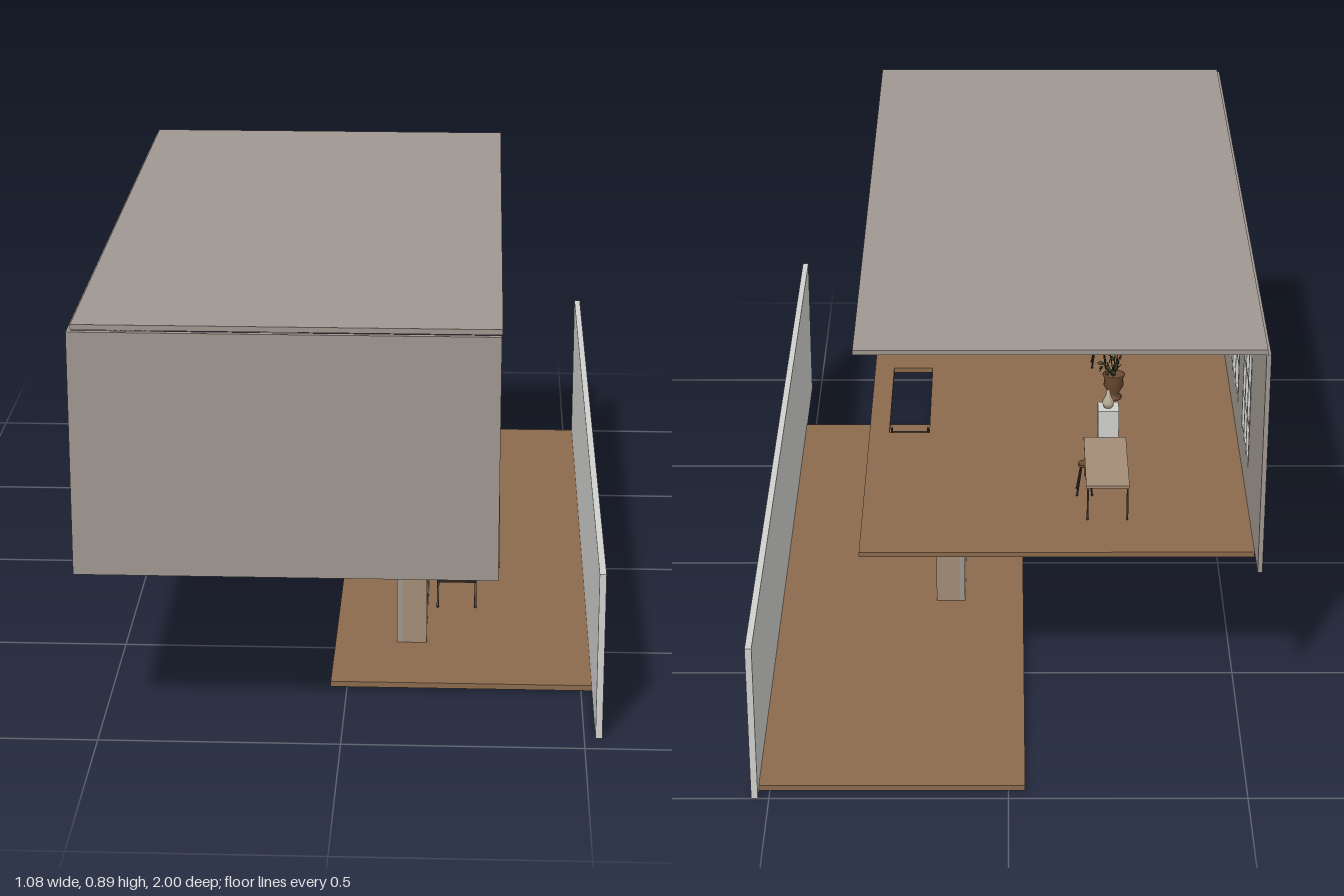
import * as THREE from 'three';

const mat = (name, color, side = THREE.FrontSide) => {
  const m = new THREE.MeshStandardMaterial({ color, side });
  m.name = name;
  return m;
};

export function createModel() {
  const root = new THREE.Group();
  root.name = 'house';
  const M = {
    wall: mat('warm grey plaster', 0x9f9790),
    floor: mat('brown timber', 0x8b6a4d),
    pale: mat('pale concrete', 0xd0d1ce),
    shelf: mat('tan wood', 0xa38c76),
    dark: mat('dark metal', 0x3b332d),
    pot: mat('brown clay', 0x6b4a30),
    leaf: mat('dark leaf', 0x3f4029, THREE.DoubleSide),
    paper: mat('cream paper', 0xb9ab97),
    cloth: mat('grey cloth', 0x6a6662),
  };
  const group = (name, parent = root) => {
    const g = new THREE.Group();
    g.name = name;
    parent.add(g);
    return g;
  };
  const add = (name, geo, m, parent = root) => {
    const mesh = new THREE.Mesh(geo, m);
    mesh.name = name;
    parent.add(mesh);
    return mesh;
  };
  // Box given by its limits on each axis
  const box = (name, m, [x0, x1], [y0, y1], [z0, z1], parent) => {
    const b = add(name, new THREE.BoxGeometry(x1 - x0, y1 - y0, z1 - z0), m, parent);
    b.position.set((x0 + x1) / 2, (y0 + y1) / 2, (z0 + z1) / 2);
    return b;
  };
  // Thin round bar between two points
  const bar = (name, m, a, b, r, parent) => {
    const p = new THREE.Vector3(...a), q = new THREE.Vector3(...b);
    const d = q.clone().sub(p);
    const mesh = add(name, new THREE.CylinderGeometry(r, r, d.length(), 8), m, parent);
    mesh.position.copy(p).add(q).multiplyScalar(0.5);
    mesh.quaternion.setFromUnitVectors(new THREE.Vector3(0, 1, 0), d.normalize());
    return mesh;
  };
  const rect = (T, a0, a1, b0, b1) => {
    const s = new T();
    s.moveTo(a0, b0);
    s.lineTo(a1, b0).lineTo(a1, b1).lineTo(a0, b1).closePath();
    return s;
  };
  // Rectangular plate with rectangular openings
  const plate = (outer, holes, depth) => {
    const s = rect(THREE.Shape, ...outer);
    s.holes = holes.map((h) => rect(THREE.Path, ...h));
    return new THREE.ExtrudeGeometry(s, { depth, bevelEnabled: false });
  };

  // Shell
  box('lowerFloor', M.floor, [-0.035, 0.523], [0, 0.012], [-0.97, 0.71]);
  box('boundaryWall', M.pale, [0.523, 0.537], [0, 0.363], [-1, 0.95]);
  box('roof', M.wall, [-0.533, 0.32], [0.877, 0.888], [-0.69, 0.985]);
  box('frontWall', M.wall, [-0.54, 0.318], [0.365, 0.877], [0.988, 1]);
  const upper = plate([-0.53, 0.322, -0.905, 0.605], [[0.183, 0.276, -0.31, 0.035]], 0.012);
  add('upperFloor', upper.rotateX(-Math.PI / 2), M.floor).position.y = 0.355;

  // Side wall with three windows
  const windows = [[0.325, 0.53, 3], [-0.045, 0.305, 4], [-0.37, -0.17, 3]];
  const wy0 = 0.45, wy1 = 0.715;
  const sideGeo = plate([-0.69, 0.988, 0.365, 0.877], windows.map(([a, b]) => [a, b, wy0, wy1]), 0.01);
  add('sideWall', sideGeo.rotateY(-Math.PI / 2), M.wall).position.x = -0.53;
  windows.forEach(([a, b, n]) => {
    const g = group('window');
    for (let i = 0; i <= n; i++) {
      const t = i === 0 ? a + 0.004 : i === n ? b - 0.004 : a + ((b - a) * i) / n;
      box('verticalBar', M.pale, [-0.54, -0.529], [wy0, wy1], [t - 0.004, t + 0.004], g);
    }
    for (let j = 0; j <= 3; j++) {
      const y = wy0 + 0.004 + ((wy1 - wy0 - 0.008) * j) / 3;
      box('crossBar', M.pale, [-0.539, -0.53], [y - 0.004, y + 0.004], [a, b], g);
    }
  });

  // Bookcase against its backing wall
  const z0 = -0.2, z1 = 0.49, y0 = 0.012, y1 = 0.355, rows = 6, bays = 5;
  const bookcase = group('bookcase');
  box('backingWall', M.wall, [0.1, 0.112], [y0, y1], [z0, z1], bookcase);
  for (let i = 0; i <= bays; i++) {
    const z = z0 + ((z1 - z0 - 0.008) * i) / bays;
    box('upright', M.shelf, [0.112, 0.166], [y0, y1], [z, z + 0.008], bookcase);
  }
  for (let j = 0; j <= rows; j++) {
    const y = y0 + ((y1 - y0 - 0.006) * j) / rows;
    box('shelf', M.shelf, [0.112, 0.165], [y, y + 0.006], [z0 + 0.001, z1 - 0.001], bookcase);
  }
  // Books with small repeatable variations
  let seed = 7;
  const rnd = () => (seed = (seed * 16807) % 2147483647) / 2147483647;
  const covers = [M.dark, M.cloth, M.paper, M.pot, M.dark];
  const bayW = (z1 - z0 - 0.008) / bays, rowH = (y1 - y0 - 0.006) / rows;
  for (let j = 0; j < rows; j++) {
    for (let i = 0; i < bays; i++) {
      let z = z0 + i * bayW + 0.01;
      const end = z0 + (i + 1) * bayW - 0.002 - rnd() * 0.04;
      const y = y0 + j * rowH + 0.006;
      while (z < end - 0.014) {
        const w = 0.006 + rnd() * 0.007;
        const h = 0.03 + rnd() * 0.016;
        const m = covers[Math.floor(rnd() * covers.length)];
        box('book', m, [0.115, 0.148 + rnd() * 0.015], [y, y + h], [z, z + w], bookcase);
        z += w + 0.001 + (rnd() > 0.85 ? 0.012 : 0);
      }
    }
  }

  // Sloping ladder up to the floor opening
  const ladder = group('ladder');
  const ladderZ = (y) => 0.29 - ((y - 0.012) / 0.35) * 0.29;
  for (const x of [0.187, 0.272]) {
    bar('ladderRail', M.dark, [x, 0.014, ladderZ(0.014)], [x, 0.362, ladderZ(0.362)], 0.0025, ladder);
  }
  for (let i = 1; i <= 6; i++) {
    const y = 0.012 + i * 0.053, z = ladderZ(y);
    box('tread', M.dark, [0.187, 0.272], [y - 0.002, y + 0.002], [z - 0.014, z + 0.014], ladder);
  }

  // Work table
  const top = 0.367;
  const table = group('table');
  box('tableTop', M.shelf, [-0.265, -0.17], [0.446, 0.452], [-0.462, -0.225], table);
  for (const x of [-0.261, -0.174]) for (const z of [-0.458, -0.25]) {
    box('tableLeg', M.dark, [x - 0.002, x + 0.002], [top, 0.446], [z - 0.002, z + 0.002], table);
  }

  // Splayed-leg stools
  for (const [x, z] of [[-0.17, -0.33], [-0.22, 0.325]]) {
    const stool = group('stool');
    const seat = add('stoolSeat', new THREE.CylinderGeometry(0.015, 0.015, 0.006, 16), M.pot, stool);
    seat.position.set(x, 0.438, z);
    for (let i = 0; i < 4; i++) {
      const a = Math.PI / 4 + (i * Math.PI) / 2, c = Math.cos(a), s = Math.sin(a);
      bar('stoolLeg', M.dark, [x + c * 0.024, top, z + s * 0.024], [x + c * 0.01, 0.436, z + s * 0.01], 0.002, stool);
    }
  }

  // Display plinths with a cup and a vase
  box('frontPlinth', M.pale, [-0.25, -0.203], [top, 0.483], [0.48, 0.528]);
  box('rearPlinth', M.pale, [-0.25, -0.203], [top, 0.5], [-0.192, -0.145]);
  const lathe = (pts, n = 20) => new THREE.LatheGeometry(pts.map(([r, y]) => new THREE.Vector2(r, y)), n);
  const cup = lathe([[0, 0], [0.007, 0], [0.004, 0.008], [0.011, 0.016], [0.01, 0.026], [0, 0.027]]);
  add('cup', cup, M.dark).position.set(-0.226, 0.483, 0.504);
  const vase = lathe([[0, 0], [0.01, 0], [0.014, 0.012], [0.006, 0.028], [0.003, 0.042], [0, 0.043]]);
  add('vase', vase, M.paper).position.set(-0.226, 0.5, -0.168);

  // Potted plant
  const plant = group('plant');
  plant.position.set(-0.25, top, 0.147);
  add('pot', lathe([[0, 0], [0.019, 0], [0.019, 0.006], [0.012, 0.014], [0.024, 0.035],
    [0.022, 0.052], [0.027, 0.062], [0.023, 0.064], [0, 0.058]]), M.pot, plant);
  for (let i = 0; i < 9; i++) {
    const a = i * 2.4, r = 0.01 + 0.018 * rnd(), h = 0.085 + 0.07 * rnd();
    const tip = [Math.cos(a) * r, h, Math.sin(a) * r];
    bar('stem', M.leaf, [0, 0.055, 0], tip, 0.0012, plant);
    for (let k = 0; k < 3; k++) {
      const leaf = add('leaf', new THREE.CircleGeometry(0.009, 6), M.leaf, plant);
      leaf.scale.x = 0.55;
      leaf.position.set(tip[0] + (rnd() - 0.5) * 0.014, h - k * 0.01, tip[2] + (rnd() - 0.5) * 0.014);
      leaf.rotation.set(rnd() * 3, rnd() * 6, rnd() * 3);
    }
  }
  return root;
}
